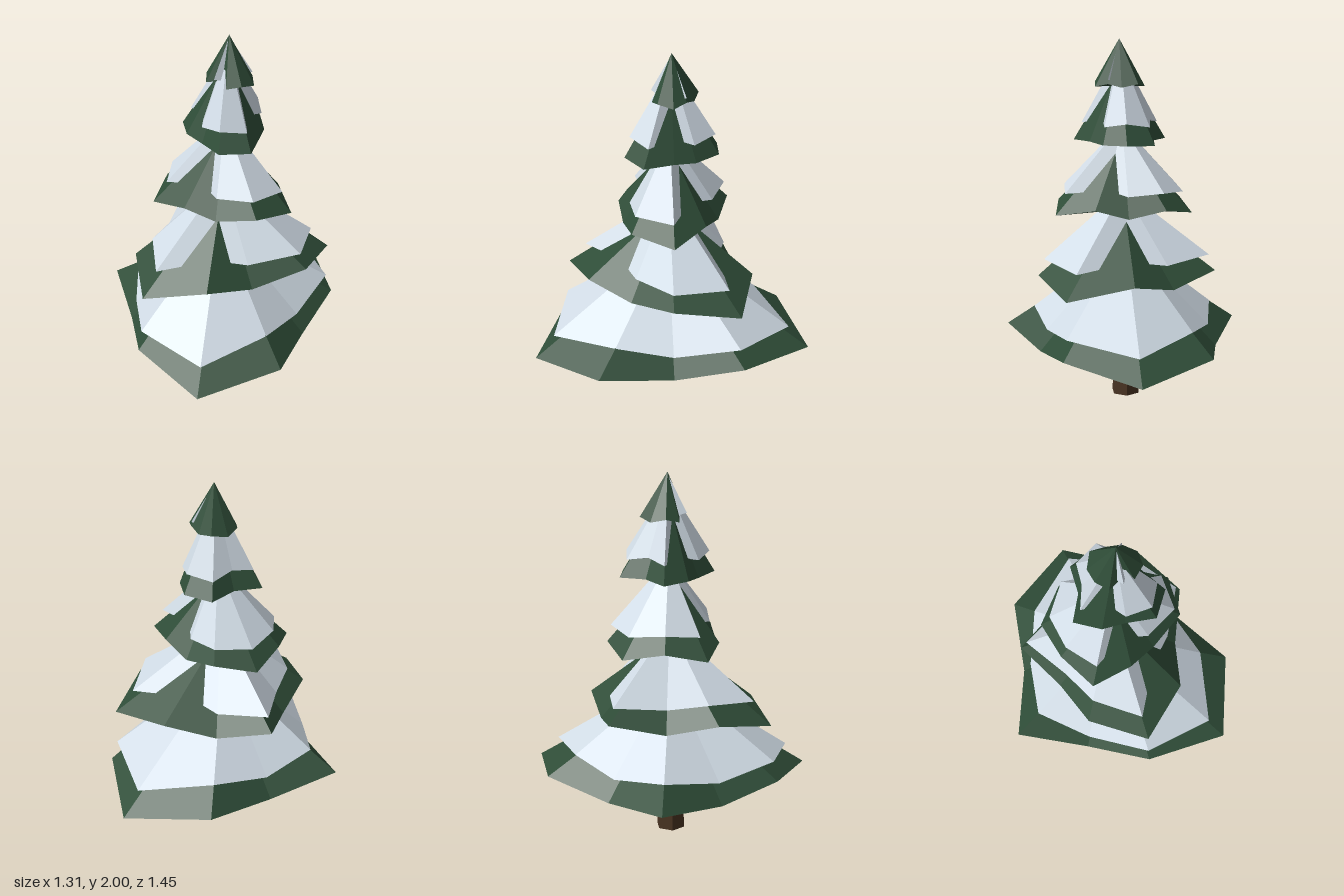
import * as THREE from 'three';

const SIDES = 10;

// Closed, irregular ten-sided cone. The rim height alternates between two levels.
function irregularCone(radii, [cx, cz], [lowY, highY], firstIsHigh, apex) {
  const positions = [];
  const rim = radii.map((r, i) => {
    const a = (i / SIDES) * Math.PI * 2;
    const high = (i % 2 === 0) === firstIsHigh;
    return [cx + r * Math.sin(a), high ? highY : lowY, cz + r * Math.cos(a)];
  });
  const base = [cx, lowY, cz];
  rim.forEach((p, i) => {
    const q = rim[(i + 1) % SIDES];
    positions.push(...apex, ...p, ...q, ...base, ...q, ...p);
  });
  const geometry = new THREE.BufferGeometry();
  geometry.setAttribute('position', new THREE.Float32BufferAttribute(positions, 3));
  geometry.computeVertexNormals();
  return geometry;
}

// Rim radii run from the front (+z) round through +x. Small snow radii let the
// green ridges below break through as notches.
const TIERS = [
  {
    center: [0, 0.08], firstIsHigh: true, top: [0, 0.08],
    green: [0.625, 0.79, 0.69, 0.51, 0.645, 0.81, 0.69, 0.515, 0.69, 0.51], greenY: [0.31, 0.365], greenTop: 0.85,
    snow: [0.6, 0.68, 0.53, 0.47, 0.61, 0.695, 0.535, 0.47, 0.535, 0.48], snowY: [0.43, 0.477], snowTop: 0.9,
  },
  {
    center: [0, 0.08], firstIsHigh: false, top: [0.01, 0.07],
    green: [0.58, 0.465, 0.37, 0.515, 0.61, 0.48, 0.39, 0.505, 0.365, 0.47], greenY: [0.68, 0.743], greenTop: 1.12,
    snow: [0.48, 0.28, 0.32, 0.48, 0.51, 0.28, 0.34, 0.47, 0.32, 0.375], snowY: [0.805, 0.83], snowTop: 1.18,
  },
  {
    center: [0.01, 0.065], firstIsHigh: true, top: [0.02, 0.06],
    green: [0.29, 0.27, 0.37, 0.4, 0.3, 0.27, 0.34, 0.38, 0.345, 0.38], greenY: [1.065, 1.11], greenTop: 1.48,
    snow: [0.155, 0.23, 0.335, 0.345, 0.17, 0.235, 0.32, 0.33, 0.31, 0.305], snowY: [1.18, 1.2], snowTop: 1.54,
  },
  {
    center: [0.02, 0.05], firstIsHigh: false, top: [0.03, 0.05],
    green: [0.18, 0.265, 0.27, 0.19, 0.2, 0.255, 0.26, 0.175, 0.26, 0.21], greenY: [1.45, 1.457], greenTop: 1.88,
    snow: [0.18, 0.235, 0.225, 0.115, 0.185, 0.235, 0.22, 0.155, 0.21, 0.115], snowY: [1.545, 1.57], snowTop: 1.93,
  },
  {
    center: [0.035, 0.045], firstIsHigh: true, top: [0.035, 0.045],
    green: [0.07, 0.11, 0.135, 0.14, 0.12, 0.12, 0.15, 0.14, 0.13, 0.12], greenY: [1.75, 1.768], greenTop: 2,
    snow: [0.11, 0.06, 0.05, 0.05, 0.12, 0.05, 0.05, 0.05, 0.05, 0.06], snowY: [1.77, 1.79], snowTop: 1.99,
  },
];

export function createModel() {
  const needles = new THREE.MeshStandardMaterial({ color: 0x2f4d38 });
  const snow = new THREE.MeshStandardMaterial({ color: 0xd0dbe5 });
  const bark = new THREE.MeshStandardMaterial({ color: 0x4a3422 });
  needles.name = 'needleGreen';
  snow.name = 'snowWhite';
  bark.name = 'barkBrown';

  const tree = new THREE.Group();
  tree.name = 'snowyTree';

  // Hexagonal trunk, slightly tapered
  const trunkGeometry = new THREE.CylinderGeometry(0.073, 0.081, 0.5, 6).toNonIndexed();
  trunkGeometry.computeVertexNormals();
  const trunk = new THREE.Mesh(trunkGeometry, bark);
  trunk.name = 'trunk';
  trunk.position.set(-0.003, 0.25, 0.085);
  tree.add(trunk);

  // Branch tiers, each with a layer of snow on top
  TIERS.forEach((t, i) => {
    const tier = new THREE.Group();
    tier.name = `tier${i + 1}`;
    for (const [part, material] of [['green', needles], ['snow', snow]]) {
      const apex = [t.top[0], t[part + 'Top'], t.top[1]];
      const mesh = new THREE.Mesh(irregularCone(t[part], t.center, t[part + 'Y'], t.firstIsHigh, apex), material);
      mesh.name = part === 'green' ? 'branches' : 'snowLayer';
      tier.add(mesh);
    }
    tree.add(tier);
  });
  return tree;
}
